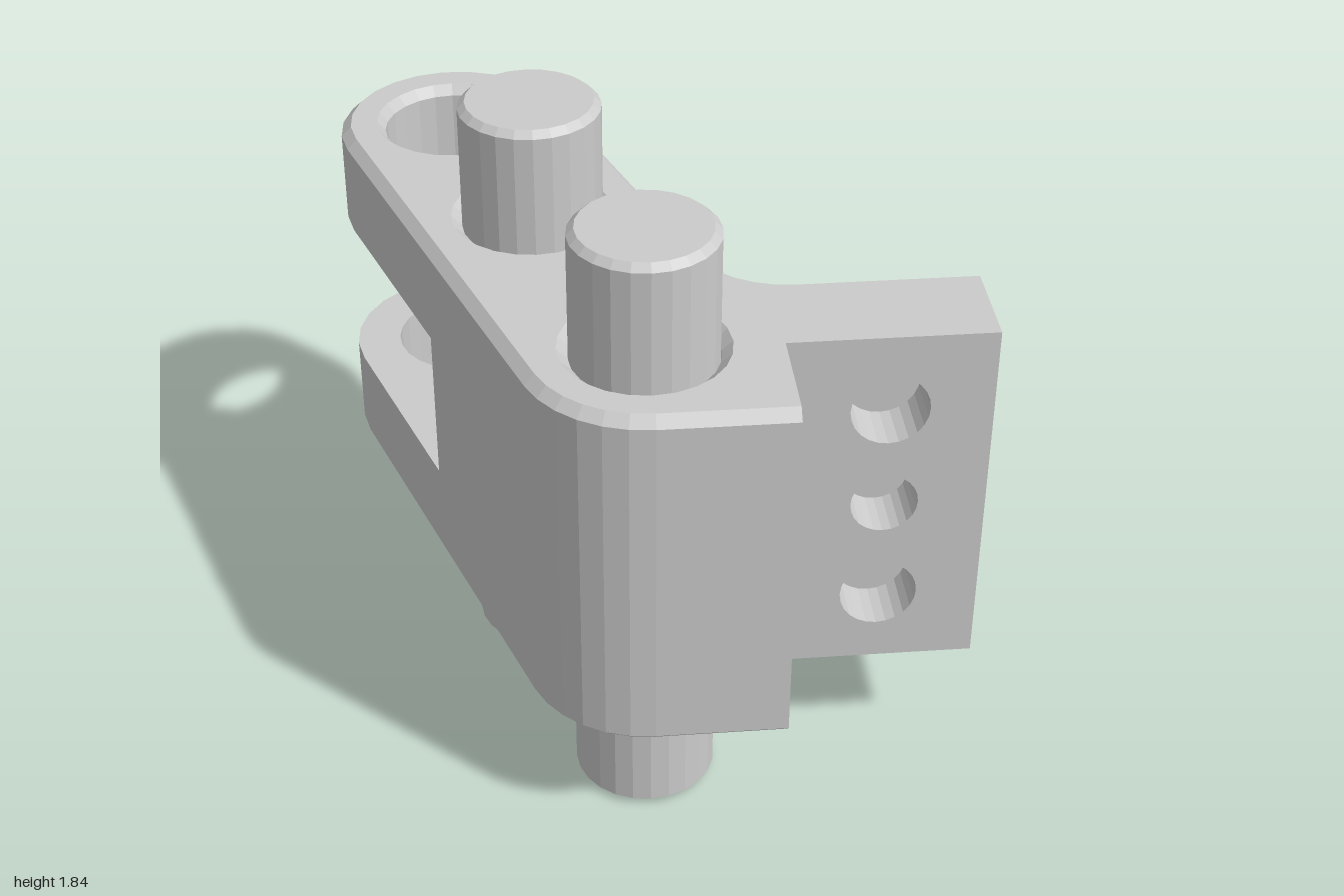
import * as THREE from 'three';
import { mergeGeometries } from 'three/addons/utils/BufferGeometryUtils.js';

// Plan points are (x, z); loops run counter-clockwise seen from above.
const TAIL = [-0.54, -0.655], MID = [-0.325, -0.06], FRONT = [-0.065, 0.655];
const R = 0.345, FILLET = 0.25, CH = 0.03;
const Y0 = 0.368, Y1 = 1.47, SLOT0 = 0.68, SLOT1 = 1.157;
const BACK = 0.365, STEP = 0.68, SIDE = 0.306, END = 0.885;
const tilt = Math.atan2(FRONT[0] - TAIL[0], FRONT[1] - TAIL[1]);
const dir = [Math.sin(tilt), Math.cos(tilt)], nor = [dir[1], -dir[0]];

const along = (t, s) => [TAIL[0] + t * dir[0] + s * nor[0], TAIL[1] + t * dir[1] + s * nor[1]];

function arc([cx, cz], r, a0, a1, n) {
  return Array.from({ length: n + 1 }, (_, i) => {
    const a = a0 + (a1 - a0) * i / n;
    return [cx + r * Math.cos(a), cz + r * Math.sin(a)];
  });
}
const circle = (c, r) => arc(c, r, 0, 2 * Math.PI, 24).slice(0, 24);

const tailArc = r => arc(TAIL, r, -tilt, -tilt - Math.PI, 12);
const slotWall = [along(0.365, R), along(0.365, 0), along(0.672, -R)];

// Bracket outline; the inset pulls in only the chamfered edges
function outline(inset, tail) {
  const cz = BACK - FILLET;
  const t = (cz - TAIL[1] - (R + FILLET) * nor[1]) / dir[1];
  return [
    ...tail,
    ...arc(FRONT, R - inset, Math.PI - tilt, Math.PI / 2, 6),
    [SIDE, 1 - inset], [SIDE, STEP], [END, STEP], [END, BACK + inset],
    ...arc([along(t, R + FILLET)[0], cz], FILLET + inset, Math.PI / 2, Math.PI - tilt, 6),
  ];
}

// Band of quads between two matching loops at two heights
function band(low, yl, high, yh, skip = () => false) {
  const pos = [];
  low.forEach((a, i) => {
    const j = (i + 1) % low.length, b = low[j];
    if (skip(a, b)) return;
    const p = [a[0], yl, a[1]], q = [b[0], yl, b[1]];
    const r = [high[j][0], yh, high[j][1]], s = [high[i][0], yh, high[i][1]];
    pos.push(...p, ...q, ...r, ...p, ...r, ...s);
  });
  const g = new THREE.BufferGeometry();
  g.setAttribute('position', new THREE.Float32BufferAttribute(pos, 3));
  return g;
}

function flat(points, holes) {
  const vec = l => l.map(p => new THREE.Vector2(p[0], p[1]));
  const shape = new THREE.Shape(vec(points));
  shape.holes = holes.map(h => new THREE.Path(vec(h)));
  const g = new THREE.ShapeGeometry(shape).toNonIndexed();
  g.deleteAttribute('uv');
  g.deleteAttribute('normal');
  return g;
}

// Horizontal face looking up (s = 1) or down (s = -1)
function cap(points, holes, y, s) {
  const f = l => l.map(([x, z]) => [x, -s * z]);
  return flat(f(points), holes.map(f)).rotateX(-s * Math.PI / 2).translate(0, y, 0);
}

export function createModel() {
  const group = new THREE.Group();
  const mat = new THREE.MeshStandardMaterial({ color: 0xcccccc, flatShading: true });
  const inner = mat.clone();
  inner.side = THREE.DoubleSide;
  const add = (name, geo, m = mat, x = 0, y = 0, z = 0) => {
    geo.computeVertexNormals();
    const mesh = new THREE.Mesh(geo, m);
    mesh.name = name;
    mesh.position.set(x, y, z);
    group.add(mesh);
  };

  // Bracket body: walls, chamfers, caps and the fork slot
  const full = outline(0, tailArc(R)), small = outline(CH, tailArc(R - CH));
  const waist = outline(0, slotWall);
  const bores = [[TAIL, 0.21], [MID, 0.204], [FRONT, 0.204]];
  const near = (a, b) => Math.abs(a - b) < 1e-6;
  const drilled = (a, b) => [STEP, BACK].some(z => near(a[1], z) && near(b[1], z));
  const mouths = bores.map(([c]) => circle(c, 0.235));
  const tongue = [...tailArc(R), ...[...slotWall].reverse()];
  const lo = Y0 + CH, hi = Y1 - CH;
  const parts = [
    cap(small, mouths, Y1, 1), cap(small, mouths, Y0, -1),
    band(small, Y0, full, lo), band(full, hi, small, Y1),
    band(full, lo, full, SLOT0, drilled), band(full, SLOT1, full, hi, drilled),
    band(waist, SLOT0, waist, SLOT1, drilled),
    cap(tongue, [circle(TAIL, 0.21)], SLOT0, 1), cap(tongue, [circle(TAIL, 0.21)], SLOT1, -1),
  ];

  // Bores with chamfered mouths, facing inward
  for (const [c, r] of bores) {
    const wide = circle(c, 0.235), bore = circle(c, r);
    parts.push(band(wide, Y0, bore, lo), band(bore, hi, wide, Y1));
    const spans = c === TAIL ? [[lo, SLOT0], [SLOT1, hi]] : [[lo, hi]];
    for (const [a, b] of spans) parts.push(band(bore, a, bore, b));
  }

  // Drilled front and back faces of the flange
  const fx = 0.6, screwY = [0.6, 1.235];
  const frontHoles = [[0.6, 0.11], [0.92, 0.095], [1.235, 0.11]];
  const rect = (x0, x1) => [[x0, lo], [x1, lo], [x1, hi], [x0, hi]];
  const filletX = full.find((p, i) => i > 20 && near(p[1], BACK) && p[0] < END - 0.1)[0];
  parts.push(
    flat(rect(SIDE, END), frontHoles.map(([y, r]) => circle([fx, y], r))).translate(0, 0, STEP),
    flat(rect(-END, -filletX), screwY.map(y => circle([-fx, y], 0.17)))
      .rotateY(Math.PI).translate(0, 0, BACK),
  );
  add('bracketBody', mergeGeometries(parts));

  // Blind holes in the flange front
  const depth = 0.15;
  for (const [y, r] of frontHoles) {
    add('flangeHoleWall', new THREE.CylinderGeometry(r, r, depth, 24, 1, true).rotateX(Math.PI / 2),
      inner, fx, y, STEP - depth / 2);
    add('flangeHoleFloor', new THREE.CircleGeometry(r, 24), mat, fx, y, STEP - depth);
  }

  // Socket screws on the flange back
  for (const y of screwY) {
    const head = new THREE.Shape(circle([0, 0], 0.17).map(p => new THREE.Vector2(...p)));
    const hex = arc([0, 0], 0.066, 0, 2 * Math.PI, 6).slice(0, 6);
    head.holes.push(new THREE.Path(hex.map(p => new THREE.Vector2(...p))));
    const geo = new THREE.ExtrudeGeometry(head, {
      depth: 0.1, bevelSize: 0.012, bevelThickness: 0.005, bevelOffset: -0.012, bevelSegments: 1,
    });
    add('screwHead', geo.rotateY(Math.PI), mat, fx, y, 0.459);
    add('socketFloor', new THREE.CircleGeometry(0.08, 12).rotateY(Math.PI), mat, fx, y, 0.42);
  }

  // Chamfered pins
  const pin = [[0, 0], [0.182, 0], [0.203, 0.02], [0.203, 1.815], [0.182, 1.835], [0, 1.835]];
  for (const [x, z] of [MID, FRONT]) {
    add('pin', new THREE.LatheGeometry(pin.map(p => new THREE.Vector2(...p)), 24), mat, x, 0, z);
  }
  return group;
}
